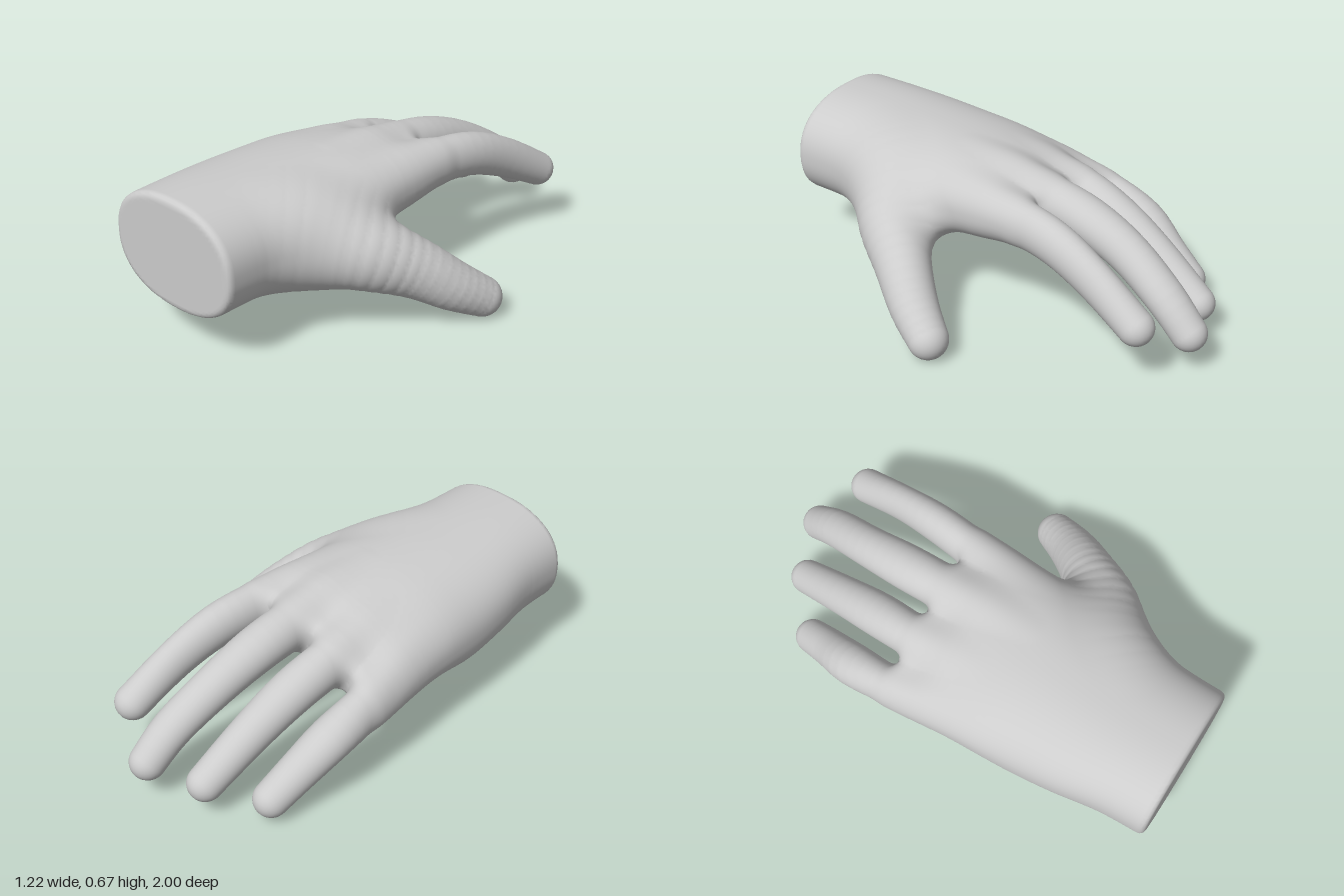
import * as THREE from 'three';

// Smoothly interpolates rows of numbers (Catmull-Rom on every column)
function refine(rows, steps) {
  const out = [];
  const last = rows.length - 1;
  for (let i = 0; i < last; i++) {
    const p = [rows[Math.max(i - 1, 0)], rows[i], rows[i + 1], rows[Math.min(i + 2, last)]];
    for (let s = 0; s < steps; s++) {
      const t = s / steps;
      out.push(p[1].map((b, k) => {
        const a = p[0][k], c = p[2][k], d = p[3][k];
        return b + 0.5 * t * (c - a + t * (2 * a - 5 * b + 4 * c - d + t * (3 * (b - c) + d - a)));
      }));
    }
  }
  out.push(rows[last]);
  return out;
}

// Rounded union and rounded intersection of two distances
const blend = (a, b, k) => Math.min(a, b) - Math.max(k - Math.abs(a - b), 0) ** 2 / (4 * k);
const cut = (a, b, k) => -blend(-a, -b, k);

// Palm and wrist: z, left x, right x, centre y, half height, droop, roundness
const PALM = refine([
  [1, -0.52, 0.145, 0.433, 0.243, 0, 2.3],
  [0.8, -0.53, 0.15, 0.433, 0.242, 0, 2.3],
  [0.6, -0.558, 0.178, 0.43, 0.245, 0.02, 2.3],
  [0.4, -0.575, 0.2, 0.428, 0.246, 0.04, 2.3],
  [0.2, -0.586, 0.203, 0.467, 0.203, 0.08, 2.4],
  [0, -0.588, 0.195, 0.495, 0.157, 0.13, 2.5],
  [-0.13, -0.588, 0.19, 0.508, 0.108, 0.17, 2.7],
  [-0.25, -0.585, 0.185, 0.505, 0.085, 0.18, 2.7]
], 5);

// Distance to the palm: superelliptic sections whose little-finger side droops
function palmDistance(x, y, z) {
  const found = PALM.findIndex(r => r[0] <= z);
  const i = found < 0 ? PALM.length - 1 : Math.max(found, 1);
  const lo = PALM[i], hi = PALM[i - 1];
  const t = Math.min(Math.max((z - lo[0]) / (hi[0] - lo[0]), 0), 1);
  const at = k => lo[k] + (hi[k] - lo[k]) * t;
  const w = (at(2) - at(1)) / 2, h = at(4), n = at(6);
  const side = Math.max(0, (0.1 - x) / 0.7);
  const u = Math.abs(x - (at(1) + at(2)) / 2) / w;
  const v = Math.abs(y - at(3) + at(5) * side * side) / h;
  const q = Math.max((u ** n + v ** n) ** (1 / n), 1e-6);
  const d = (q - 1) / Math.hypot((u / q) ** (n - 1) / w, (v / q) ** (n - 1) / h);
  return cut(cut(d, z - 1, 0.03), -0.205 - z, 0.05);
}

// Distance to a digit: a chain of short elliptical capsules
// rows: x, y, z, half width, half height
function digitDistance(stations) {
  const rows = refine(stations, 4);
  const up = new THREE.Vector3(0, 1, 0);
  const links = rows.slice(1).map((b, i) => {
    const a = rows[i];
    const axis = new THREE.Vector3(b[0] - a[0], b[1] - a[1], b[2] - a[2]);
    const length = axis.length();
    axis.normalize();
    const side = new THREE.Vector3().crossVectors(axis, up).normalize();
    const lift = new THREE.Vector3().crossVectors(side, axis);
    return { a, b, length, axis, side, lift };
  });
  return (x, y, z) => {
    let best = Infinity;
    for (const { a, b, length, axis, side, lift } of links) {
      const dx = x - a[0], dy = y - a[1], dz = z - a[2];
      const along = dx * axis.x + dy * axis.y + dz * axis.z;
      const t = Math.min(Math.max(along / length, 0), 1);
      const rw = a[3] + (b[3] - a[3]) * t, rh = a[4] + (b[4] - a[4]) * t;
      const s = (dx * side.x + dy * side.y + dz * side.z) / rw;
      const l = (dx * lift.x + dy * lift.y + dz * lift.z) / rh;
      const e = (along - t * length) / rw;
      best = Math.min(best, (Math.sqrt(s * s + l * l + e * e) - 1) * Math.min(rw, rh));
    }
    return best;
  };
}

const PARTS = {
  palmAndWrist: palmDistance,
  indexFinger: digitDistance([
    [0.07, 0.48, 0.2, 0.06, 0.08], [0.1, 0.49, 0, 0.08, 0.108], [0.12, 0.507, -0.2, 0.081, 0.102],
    [0.147, 0.485, -0.4, 0.079, 0.096], [0.175, 0.405, -0.6, 0.072, 0.088], [0.2, 0.285, -0.81, 0.076, 0.076]
  ]),
  middleFinger: digitDistance([
    [-0.1, 0.51, 0.2, 0.07, 0.1], [-0.095, 0.525, 0, 0.09, 0.115], [-0.093, 0.518, -0.2, 0.095, 0.104],
    [-0.088, 0.485, -0.4, 0.097, 0.095], [-0.073, 0.41, -0.6, 0.088, 0.088],
    [-0.04, 0.29, -0.8, 0.084, 0.08], [-0.025, 0.177, -0.925, 0.076, 0.076]
  ]),
  ringFinger: digitDistance([
    [-0.3, 0.46, 0.2, 0.07, 0.09], [-0.31, 0.463, 0, 0.09, 0.115], [-0.32, 0.458, -0.2, 0.09, 0.104],
    [-0.304, 0.4, -0.4, 0.094, 0.094], [-0.285, 0.3, -0.6, 0.085, 0.086], [-0.26, 0.156, -0.83, 0.075, 0.075]
  ]),
  littleFinger: digitDistance([
    [-0.46, 0.4, 0.2, 0.06, 0.09], [-0.495, 0.38, 0, 0.08, 0.112], [-0.523, 0.345, -0.2, 0.08, 0.105],
    [-0.518, 0.285, -0.4, 0.091, 0.09], [-0.487, 0.185, -0.55, 0.082, 0.082], [-0.465, 0.106, -0.67, 0.075, 0.075]
  ]),
  thumb: digitDistance([
    [-0.05, 0.42, 0.62, 0.14, 0.14], [0.08, 0.395, 0.5, 0.165, 0.175], [0.235, 0.355, 0.37, 0.155, 0.16],
    [0.37, 0.27, 0.22, 0.12, 0.127], [0.465, 0.17, 0.09, 0.103, 0.106], [0.527, 0.09, -0.03, 0.087, 0.086]
  ])
};
const NAMES = Object.keys(PARTS);

// Whole hand: fingers flow into the palm, the thumb into a wider web
function handDistance(x, y, z) {
  const [palm, index, middle, ring, little, thumb] = NAMES.map(n => PARTS[n](x, y, z));
  const fingers = Math.min(index, middle, ring, little);
  return blend(blend(palm, fingers, 0.06), thumb, 0.14);
}

function slope([x, y, z]) {
  const e = 0.004, f = handDistance;
  return [f(x + e, y, z) - f(x - e, y, z), f(x, y + e, z) - f(x, y - e, z),
    f(x, y, z + e) - f(x, y, z - e)].map(d => d / (2 * e));
}

// Wraps the blended form in a quad skin and sorts its faces by part
function skin() {
  const step = 0.016, low = [-0.66, -0.04, -1.04], count = [83, 50, 131];
  const stride = [1, count[0], count[0] * count[1]];
  const values = new Float32Array(count[0] * count[1] * count[2]);
  const eachCell = (from, visit) => {
    for (let k = from; k < count[2] - 1; k++)
      for (let j = from; j < count[1] - 1; j++)
        for (let i = from; i < count[0] - 1; i++) visit([i, j, k], i + j * stride[1] + k * stride[2]);
  };
  for (let id = 0; id < values.length; id++) {
    const i = id % count[0], j = Math.floor(id / stride[1]) % count[1], k = Math.floor(id / stride[2]);
    values[id] = handDistance(low[0] + i * step, low[1] + j * step, low[2] + k * step);
  }
  // One point in every cell the surface crosses, settled onto the surface
  const points = new Map();
  eachCell(0, (cell, id) => {
    const sum = [0, 0, 0];
    let hits = 0;
    for (let c = 0; c < 8; c++) {
      const corner = [c & 1, c >> 1 & 1, c >> 2 & 1];
      const from = id + corner[0] + corner[1] * stride[1] + corner[2] * stride[2];
      for (let a = 0; a < 3; a++) {
        const f0 = values[from], f1 = values[from + stride[a]];
        if (corner[a] || f0 < 0 === f1 < 0) continue;
        hits++;
        for (let b = 0; b < 3; b++) sum[b] += corner[b] + (a === b ? f0 / (f0 - f1) : 0);
      }
    }
    if (!hits) return;
    let p = sum.map((s, a) => low[a] + (cell[a] + s / hits) * step);
    const g = slope(p);
    const move = handDistance(...p) / Math.max(g[0] ** 2 + g[1] ** 2 + g[2] ** 2, 0.3);
    const limit = Math.min(Math.max(move, -step / 2), step / 2);
    p = p.map((v, a) => v - g[a] * limit);
    points.set(id, { p, n: new THREE.Vector3(...slope(p)).normalize().toArray() });
  });
  // One quad around every grid edge the surface crosses
  const faces = NAMES.map(() => ({ position: [], normal: [] }));
  eachCell(1, (cell, id) => {
    for (let a = 0; a < 3; a++) {
      const inside = values[id] < 0;
      if (inside === values[id + stride[a]] < 0) continue;
      const b = stride[(a + 1) % 3], c = stride[(a + 2) % 3];
      const quad = [id - b - c, id - c, id, id - b].map(n => points.get(n));
      const near = NAMES.map(n => PARTS[n](...quad[0].p));
      const face = faces[near.indexOf(Math.min(...near))];
      for (const n of inside ? [0, 1, 2, 0, 2, 3] : [0, 2, 1, 0, 3, 2]) {
        face.position.push(...quad[n].p);
        face.normal.push(...quad[n].n);
      }
    }
  });
  return faces;
}

export function createModel() {
  const hand = new THREE.Group();
  hand.name = 'hand';
  const grey = new THREE.MeshStandardMaterial({ color: 0xcccccc });
  grey.name = 'light grey';
  skin().forEach((face, i) => {
    const geometry = new THREE.BufferGeometry();
    for (const key of ['position', 'normal']) {
      geometry.setAttribute(key, new THREE.Float32BufferAttribute(face[key], 3));
    }
    const mesh = new THREE.Mesh(geometry, grey);
    mesh.name = NAMES[i];
    hand.add(mesh);
  });
  return hand;
}
